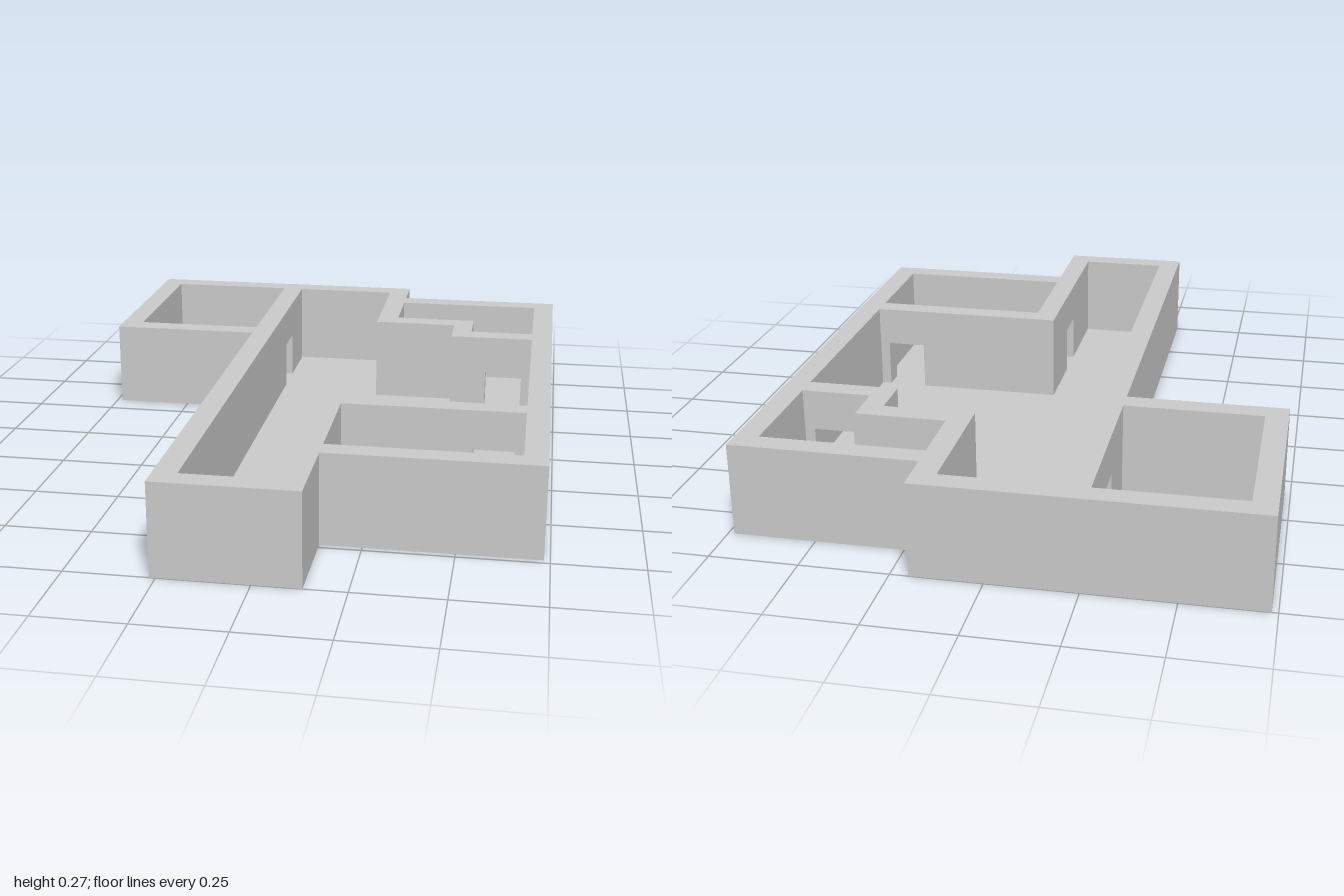
import * as THREE from 'three';
import { mergeGeometries } from 'three/addons/utils/BufferGeometryUtils.js';

const HEIGHT = 0.267, DOOR_HEIGHT = 0.147;

// Plan outlines as [x, z]; each wall face looks to the right of its direction of travel
const OUTSIDE = [[-0.733, -1], [-0.733, -0.333], [-0.267, -0.333], [-0.267, 1], [0.133, 1],
  [0.133, 0.733], [0.733, 0.733], [0.733, -0.867], [0.2, -0.867], [0.2, -1]];
const rect = (x0, x1, z0, z1) => [[x0, z0], [x1, z0], [x1, z1], [x0, z1]];
const ROOMS = {
  hall: [[-0.2, -0.933], [0.133, -0.933], [0.133, -0.533], [0.4, -0.533], [0.4, -0.4],
    [0.667, -0.4], [0.667, 0.267], [0.067, 0.267], [0.067, 0.933], [-0.2, 0.933]],
  sideRoom: rect(-0.667, -0.267, -0.933, -0.4),
  backRoom: [[0.2, -0.8], [0.667, -0.8], [0.667, -0.467], [0.463, -0.467], [0.463, -0.6], [0.2, -0.6]],
  frontRoom: rect(0.133, 0.667, 0.333, 0.667),
};

// Doorways: footprint, and the axis one walks along to pass through
const DOORS = [
  { axis: 0, min: [-0.267, -0.725], max: [-0.2, -0.6] },
  { axis: 0, min: [0.067, 0.507], max: [0.133, 0.63] },
  { axis: 1, min: [0.517, 0.267], max: [0.637, 0.333] },
  { axis: 1, min: [0.517, -0.467], max: [0.637, -0.4] },
];

const material = new THREE.MeshStandardMaterial({ color: 0xcccccc, side: THREE.DoubleSide, flatShading: true });
const planPoints = (loop) => loop.map(([x, z]) => new THREE.Vector2(x, -z));

// Flat surface over a plan outline at height y
function slab(loop, y, holes = []) {
  const shape = new THREE.Shape(planPoints(loop));
  shape.holes = holes.map((h) => new THREE.Path(planPoints(h)));
  return new THREE.ShapeGeometry(shape).rotateX(-Math.PI / 2).translate(0, y, 0);
}

// Upright panel from plan point p to q, notched from the floor at each [start, end] gap
function panel(p, q, height, gaps = []) {
  const t = new THREE.Vector3(q[0] - p[0], 0, q[1] - p[1]);
  const length = t.length();
  t.normalize();
  const shape = new THREE.Shape().moveTo(0, 0);
  for (const [a, b] of gaps) {
    shape.lineTo(a, 0).lineTo(a, DOOR_HEIGHT).lineTo(b, DOOR_HEIGHT).lineTo(b, 0);
  }
  shape.lineTo(length, 0).lineTo(length, height).lineTo(0, height);
  const up = new THREE.Vector3(0, 1, 0);
  const matrix = new THREE.Matrix4().makeBasis(t, up, t.clone().cross(up));
  return new THREE.ShapeGeometry(shape).applyMatrix4(matrix.setPosition(p[0], 0, p[1]));
}

// Door gaps lying on the straight edge from p to q, measured along it
function gapsOn(p, q) {
  const across = Math.abs(p[0] - q[0]) < 1e-6 ? 0 : 1, along = 1 - across;
  const lo = Math.min(p[along], q[along]), hi = Math.max(p[along], q[along]);
  return DOORS
    .filter((d) => d.axis === across && d.min[along] > lo && d.max[along] < hi
      && [d.min, d.max].some((c) => Math.abs(c[across] - p[across]) < 1e-6))
    .map((d) => [d.min, d.max].map((c) => Math.abs(c[along] - p[along])).sort((a, b) => a - b));
}

function wallLoop(loop) {
  return mergeGeometries(loop.map((p, i) => {
    const q = loop[(i + 1) % loop.length];
    return panel(p, q, HEIGHT, gapsOn(p, q));
  }));
}

export function createModel() {
  const group = new THREE.Group();
  group.name = 'floorPlan';
  const add = (name, geometry) => {
    const mesh = new THREE.Mesh(geometry, material);
    mesh.name = name;
    group.add(mesh);
  };

  // Walls: outer face, a face around each room, and the top edge; hollow underneath
  add('outerWall', wallLoop(OUTSIDE));
  for (const [name, loop] of Object.entries(ROOMS)) {
    add(name + 'Walls', wallLoop(loop));
    add(name + 'Floor', slab(loop, 0));
  }
  add('wallTop', slab(OUTSIDE, HEIGHT, Object.values(ROOMS)));

  // Doorways: threshold, lintel underside and two jambs
  for (const { axis, min, max } of DOORS) {
    const loop = rect(min[0], max[0], min[1], max[1]);
    const [a, b, c, d] = loop;
    const jambs = axis === 0 ? [[a, b], [c, d]] : [[b, c], [d, a]];
    const lintel = slab(loop, 0).rotateX(Math.PI).translate(0, DOOR_HEIGHT, min[1] + max[1]);
    add('doorway', mergeGeometries([slab(loop, 0), lintel,
      ...jambs.map(([p, q]) => panel(p, q, DOOR_HEIGHT))]));
  }
  return group;
}
